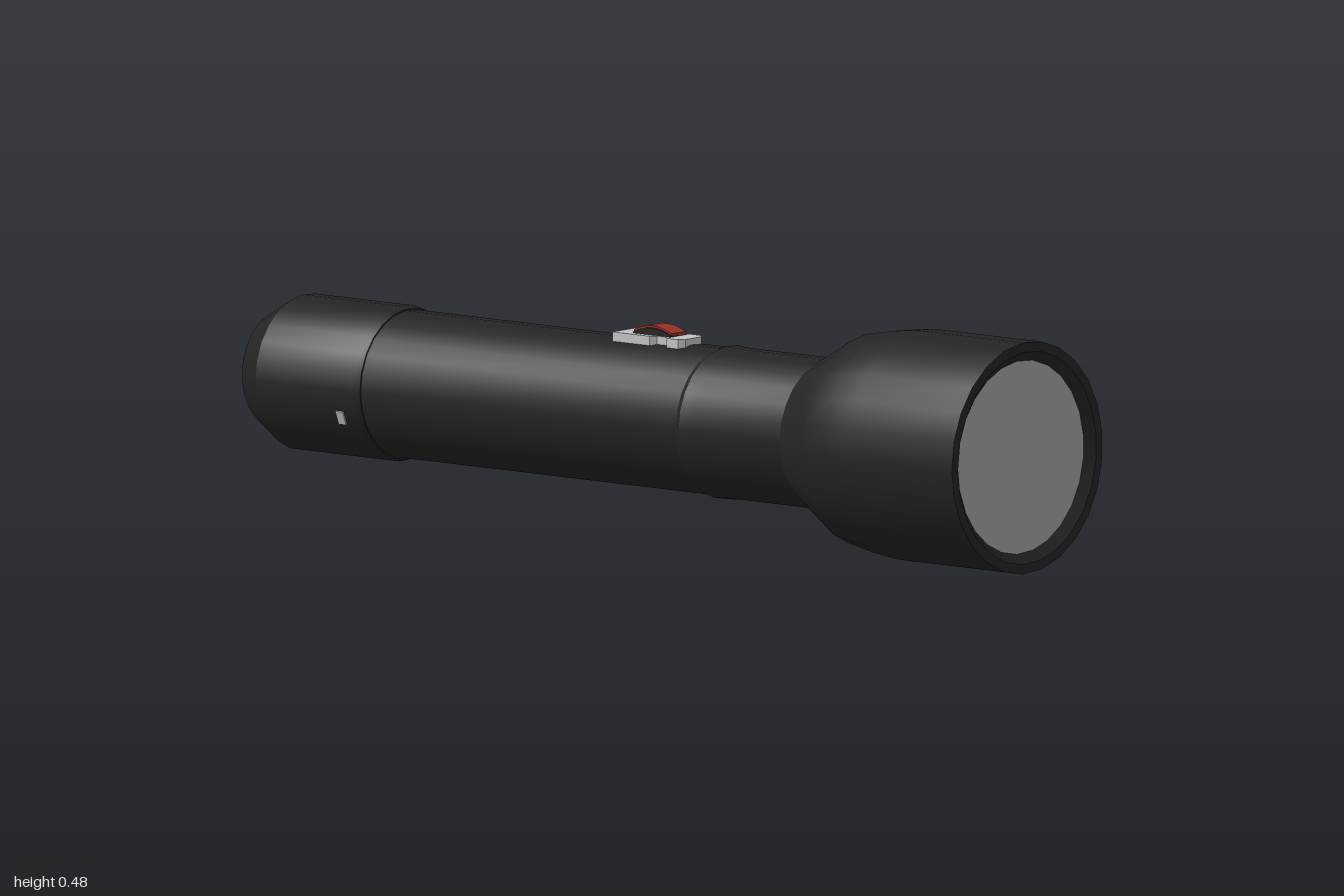
import * as THREE from 'three';
import { toCreasedNormals } from 'three/addons/utils/BufferGeometryUtils.js';

const AXIS_Y = 0.243;
const SIDES = 25;

function material(name, color) {
  const m = new THREE.MeshStandardMaterial({ color });
  m.name = name;
  return m;
}

export function createModel() {
  const group = new THREE.Group();
  const black = material('black casing', 0x242424);
  const lensGrey = material('lens grey', 0xa6a6a6);
  const silver = material('silver', 0xc4c4c4);
  const red = material('red', 0x9c3328);

  function add(name, geometry, mat, x = 0, y = 0, z = 0) {
    const mesh = new THREE.Mesh(geometry, mat);
    mesh.name = name;
    mesh.position.set(x, y, z);
    group.add(mesh);
    return mesh;
  }

  // Turned part along x, from [x, radius] pairs
  function turned(name, profile, mat) {
    const points = profile.map(([x, r]) => new THREE.Vector2(r, x));
    const geometry = new THREE.LatheGeometry(points, SIDES).rotateZ(-Math.PI / 2);
    return add(name, toCreasedNormals(geometry, 0.42), mat, 0, AXIS_Y, 0);
  }

  // Casing
  turned('endCap', [
    [-1, 0], [-1, 0.121], [-0.93, 0.161], [-0.67, 0.161], [-0.655, 0.156], [-0.655, 0.148],
  ], black);
  turned('barrel', [[-0.67, 0.153], [0.2, 0.153]], black);
  turned('collar', [[0.18, 0.15], [0.2, 0.158], [0.24, 0.156], [0.48, 0.156]], black);
  turned('head', [
    [0.465, 0.154], [0.52, 0.184], [0.58, 0.219], [0.65, 0.232], [0.715, 0.24],
    [1, 0.24], [1, 0.22], [0.982, 0.199],
  ], black);

  // Recessed lens
  turned('lens', [[0.983, 0.201], [0.985, 0]], lensGrey);

  // Switch plate with rounded corners on its front end
  const plate = new THREE.Shape();
  plate.moveTo(-0.075, -0.042);
  plate.lineTo(0.025, -0.042);
  plate.lineTo(0.035, -0.03);
  plate.lineTo(0.06, -0.03);
  plate.lineTo(0.07, -0.042);
  plate.lineTo(0.1, -0.042);
  plate.lineTo(0.11, -0.03);
  plate.lineTo(0.11, 0.022);
  plate.lineTo(0.095, 0.036);
  plate.lineTo(-0.075, 0.036);
  const plateGeometry = new THREE.ExtrudeGeometry(plate, { depth: 0.025, bevelEnabled: false });
  add('switchPlate', plateGeometry.rotateX(-Math.PI / 2), silver, 0, 0.384, 0);

  // Arched switch button with a red cap
  function arch(bottom, top, width) {
    const s = new THREE.Shape();
    s.moveTo(-0.05, bottom);
    s.lineTo(0.05, bottom);
    s.lineTo(0.05, top - 0.012);
    s.quadraticCurveTo(0, top + 0.012, -0.05, top - 0.012);
    return new THREE.ExtrudeGeometry(s, { depth: width, bevelEnabled: false, curveSegments: 6 })
      .translate(0, 0, -width / 2);
  }
  add('switchButton', arch(0.395, 0.424, 0.054), black, 0.017, 0, 0);
  add('switchCap', arch(0.41, 0.428, 0.046), red, 0.017, 0, 0);

  // Small marker on the end cap
  const marker = add('endCapMarker', new THREE.BoxGeometry(0.02, 0.03, 0.008), silver, -0.71, AXIS_Y - 0.058, 0.148);
  marker.rotation.x = 0.37;

  return group;
}
